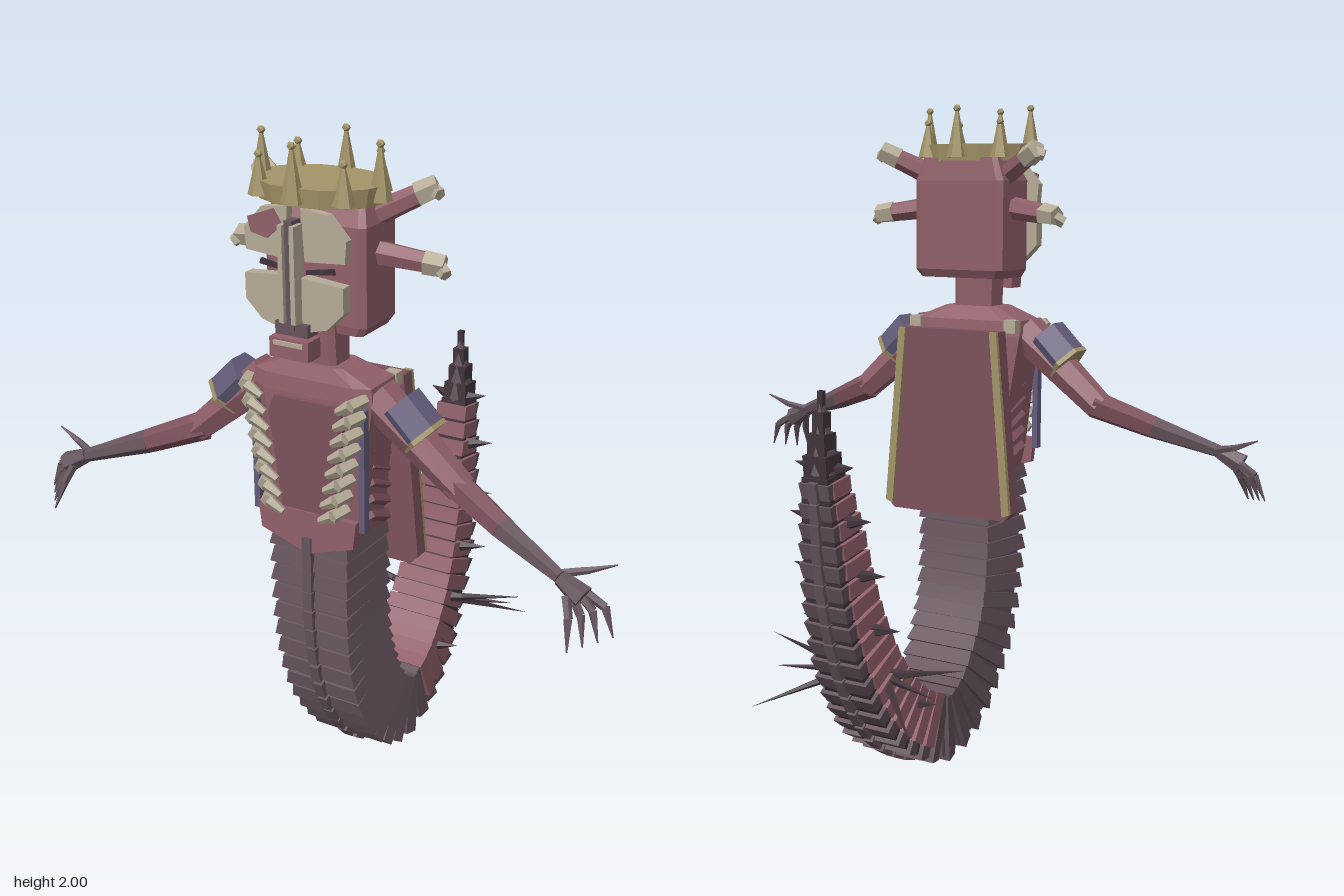
import * as THREE from 'three';

const mat = (name, color) => new THREE.MeshStandardMaterial({ name, color, flatShading: true, side: THREE.DoubleSide });
const rose = mat('rose', 0x91606a), shade = mat('deep rose', 0x7c515b), dark = mat('dark mauve', 0x65545c);
const black = mat('near black', 0x41343b), bone = mat('bone', 0xb5ab97), gold = mat('gold', 0xa39468);
const violet = mat('violet', 0x645c7a);
const V = (x, y, z) => new THREE.Vector3(x, y, z);
const lerp = THREE.MathUtils.lerp;

function add(parent, name, geometry, material) {
  const m = new THREE.Mesh(geometry, material);
  m.name = name;
  parent.add(m);
  return m;
}
function box(parent, name, material, w, h, d, x, y, z) {
  const m = add(parent, name, new THREE.BoxGeometry(w, h, d), material);
  m.position.set(x, y, z);
  return m;
}
// tapered rod between two points
function rod(parent, name, material, a, b, r0, r1, sides = 6) {
  const d = b.clone().sub(a);
  const m = add(parent, name, new THREE.CylinderGeometry(r1, r0, d.length(), sides), material);
  m.position.copy(a).addScaledVector(d, 0.5);
  m.quaternion.setFromUnitVectors(V(0, 1, 0), d.normalize());
  return m;
}
// flat polygon given thickness, its back at z
function plate(parent, name, material, pts, z, depth) {
  const shape = new THREE.Shape(pts.map(p => new THREE.Vector2(...p)));
  const m = add(parent, name, new THREE.ExtrudeGeometry(shape, { depth, bevelEnabled: false }), material);
  m.position.z = z;
  return m;
}
// chamfered block through sections [y, halfWidth, halfDepth, zCentre]
function loft(parent, name, material, sections, c = 0.75) {
  const ring = [[1, -c], [1, c], [c, 1], [-c, 1], [-1, c], [-1, -c], [-c, -1], [c, -1]];
  const pos = [], idx = [], top = (sections.length - 1) * 8;
  for (const [y, w, d, z] of sections) for (const [u, v] of ring) pos.push(u * w, y, z + v * d);
  for (let s = 0; s < top; s += 8) for (let i = 0; i < 8; i++) {
    const a = s + i, b = s + (i + 1) % 8;
    idx.push(a, a + 8, b, b, a + 8, b + 8);
  }
  for (let i = 1; i < 7; i++) idx.push(0, i, i + 1, top, top + i + 1, top + i);
  const g = new THREE.BufferGeometry();
  g.setAttribute('position', new THREE.Float32BufferAttribute(pos, 3));
  g.setIndex(idx);
  g.computeVertexNormals();
  return add(parent, name, g, material);
}

function buildTail(root) {
  const tail = new THREE.Group();
  tail.name = 'tail';
  root.add(tail);
  const path = new THREE.CatmullRomCurve3([[.88, .3], [.6, .3], [.42, .27], [.27, .2], [.16, .11], [.11, 0], [.135, -.1],
    [.2, -.21], [.3, -.3], [.42, -.37], [.6, -.435], [.8, -.475], [1, -.51], [1.2, -.513]].map(p => V(0, ...p)));
  const stops = [[0, .13, .125], [.25, .125, .12], [.48, .105, .1], [.65, .085, .085], [.8, .065, .07], [.91, .045, .043], [1, .004, .004]];
  const size = t => {
    const i = Math.max(1, stops.findIndex(s => s[0] >= t)), a = stops[i - 1], b = stops[i];
    const k = (t - a[0]) / (b[0] - a[0]);
    return [lerp(a[1], b[1], k), lerp(a[2], b[2], k)];
  };
  const N = 38, step = path.getLength() / N;
  for (let i = 0; i < N; i++) {
    const t = (i + .5) / N, [w, d] = size(t), far = t > .44;
    const seg = new THREE.Group(), T = path.getTangentAt(t), X = V(1, 0, 0);
    seg.name = 'tailSegment';
    seg.setRotationFromMatrix(new THREE.Matrix4().makeBasis(X, T, X.clone().cross(T)));
    seg.position.copy(path.getPointAt(t));
    tail.add(seg);
    // core, then overlapping armour ring
    box(seg, 'tailCore', far ? black : dark, w * 1.72, step * 1.3, d * 1.72, 0, 0, 0);
    if (t < .9) {
      const ring = add(seg, 'tailPlate', new THREE.CylinderGeometry(Math.SQRT2, Math.SQRT2 * .93, step * .8, 4, 1, false, Math.PI / 4), dark);
      ring.scale.set(w, 1, d);
      box(seg, 'bellyRidge', dark, .03, step, .02, 0, 0, -d);
      if (far) box(seg, 'rosePlate', rose, w * 2.1, step * .82, d * 1.6, 0, 0, d * .24);
    }
  }
  const end = path.getPointAt(.9), [ew] = size(.9);
  rod(tail, 'tailTip', dark, end, path.getPointAt(1), ew, .004, 6);
  // short thorns and the long spines on each side
  for (const s of [-1, 1]) {
    for (const [y, z, x, l] of [[.235, -.18, .08, .09], [.36, -.295, .08, .09], [.51, -.375, .07, .1], [.68, -.43, .06, .1], [.84, -.47, .05, .09], [.99, -.495, .03, .07]])
      rod(tail, 'thorn', black, V(s * x, y, z), V(s * (x + l), y + .015, z - .01), .022, 0, 5);
    for (const [x, y, z] of [[.34, .42, -.31], [.28, .345, -.38], [.28, .25, -.5]])
      rod(tail, 'longSpine', black, V(s * .06, .35, -.3), V(s * x, y, z), .016, 0, 5);
  }
}

function buildTorso(root) {
  loft(root, 'torso', rose, [[.87, .125, .105, .31], [.95, .145, .1, .31], [1.15, .168, .095, .315], [1.3, .19, .09, .32],
    [1.345, .185, .085, .32], [1.385, .09, .06, .33]]);
  loft(root, 'neck', rose, [[1.37, .066, .045, .33], [1.53, .066, .052, .335]]);
  plate(root, 'chestPanel', shade, [[-.1, 1.29], [.1, 1.29], [.12, 1.24], [.08, .95], [-.08, .95], [-.12, 1.24]], .405, .02);
  plate(root, 'hem', rose, [[-.16, .96], [.16, .96], [.15, .88], [0, .83], [-.15, .88]], .41, .02);
  // hanging back board with trimmed edges
  const halfW = y => lerp(.225, .175, (y - .765) / .555);
  plate(root, 'backBoard', shade, [[-.175, 1.32], [.175, 1.32], [.225, .765], [.2, .74], [-.2, .74], [-.225, .765]], .145, .045);
  for (const s of [-1, 1]) {
    plate(root, 'boardTrim', gold, [[s * halfW(1.32), 1.32], [s * (halfW(.765)), .765], [s * (halfW(.765) - .025), .755], [s * (halfW(1.32) - .025), 1.32]], .133, .014);
    box(root, 'sideStrap', violet, .018, .36, .025, s * .172, 1.11, .405);
    // rib ends down the chest
    for (let i = 0; i < 8; i++) {
      const k = i / 7, x = lerp(.165, .105, k), y = lerp(1.32, .985, k);
      rod(root, 'ribJoint', bone, V(s * (x + .02), y + .008, .415), V(s * x, y, .465), .017, .02, 5);
      rod(root, 'rib', bone, V(s * x, y, .458), V(s * (x - .045), y - .027, .455), .019, .011, 5);
    }
    for (let i = 0; i < 5; i++) {
      const y = .9 + i * .05;
      rod(root, 'flankRib', shade, V(s * .14, y, .23), V(s * .155, y + .05, .34), .02, .014, 4);
    }
    box(root, 'shoulderKnob', bone, .04, .04, .035, s * .17, 1.33, .24);
  }
}

function buildArm(root, s) {
  const arm = new THREE.Group();
  arm.name = s > 0 ? 'leftArm' : 'rightArm';
  root.add(arm);
  const P = (x, y, z) => V(s * x, y, z);
  const shoulder = P(.17, 1.31, .33), elbow = P(.43, 1.09, .33), mid = P(.58, 1.035, .385), wrist = P(.77, .97, .445);
  rod(arm, 'upperArm', rose, shoulder, elbow, .062, .043);
  rod(arm, 'armBand', violet, P(.24, 1.3, .33), P(.315, 1.225, .33), .066, .066);
  rod(arm, 'bandTrim', gold, P(.312, 1.227, .33), P(.322, 1.217, .33), .069, .069);
  rod(arm, 'forearm', shade, P(.41, 1.1, .325), mid, .044, .036);
  rod(arm, 'lowerForearm', dark, mid, wrist, .036, .02);
  rod(arm, 'palm', dark, wrist, P(.84, .935, .455), .022, .034);
  rod(arm, 'thumb', dark, P(.77, .975, .43), P(.83, .99, .41), .012, .01, 5);
  rod(arm, 'thumbClaw', dark, P(.83, .99, .41), P(.905, 1.02, .4), .01, .002, 5);
  // four bent fingers
  for (let i = 0; i < 4; i++) {
    const k = i / 3, knuckle = P(lerp(.89, .82, k), lerp(.91, .89, k), lerp(.43, .5, k));
    rod(arm, 'finger', dark, P(lerp(.84, .8, k), .94, lerp(.435, .475, k)), knuckle, .013, .012, 5);
    rod(arm, 'claw', dark, knuckle, P(lerp(.92, .835, k), lerp(.835, .815, k), lerp(.44, .535, k)), .012, .002, 5);
  }
}

function buildHead(root) {
  const head = new THREE.Group();
  head.name = 'head';
  root.add(head);
  loft(head, 'skull', rose, [[1.475, .14, .075, .285], [1.5, .155, .085, .28], [1.77, .155, .085, .28], [1.84, .13, .06, .265]], .88);
  // floating mask
  for (const s of [-1, 1]) {
    plate(head, 'maskBrow', bone, [[.02, 1.83], [.1, 1.82], [.155, 1.76], [.15, 1.7], [.03, 1.69]].map(([x, y]) => [s * x, y]), .43, .025);
    plate(head, 'maskCheek', bone, [[.025, 1.65], [.15, 1.64], [.15, 1.57], [.1, 1.52], [.025, 1.5]].map(([x, y]) => [s * x, y]), .43, .035);
    plate(head, 'eyeSlit', black, [[.03, 1.665], [.11, 1.68], [.115, 1.665], [.03, 1.655]].map(([x, y]) => [s * x, y]), .44, .009);
    box(head, 'noseSide', bone, .014, .26, .045, s * .018, 1.66, .475);
  }
  plate(head, 'foreheadPatch', rose, [[-.14, 1.79], [-.06, 1.82], [-.035, 1.78], [-.08, 1.74], [-.13, 1.75]], .455, .006);
  box(head, 'noseSlot', dark, .024, .29, .04, 0, 1.655, .465);
  box(head, 'mouth', dark, .1, .035, .05, 0, 1.51, .455);
  box(head, 'jaw', rose, .12, .055, .06, 0, 1.46, .465);
  box(head, 'teeth', bone, .09, .012, .008, 0, 1.475, .497);
  // side branches with pale tips
  for (const s of [-1, 1]) for (const [a, b] of [[[.1, 1.77, .28], [.275, 1.862, .19]], [[.13, 1.69, .28], [.32, 1.665, .235]]]) {
    const A = V(s * a[0], a[1], a[2]), B = V(s * b[0], b[1], b[2]), C = A.clone().lerp(B, .72);
    rod(head, 'branch', rose, A, C, .036, .03);
    rod(head, 'branchTip', bone, C, B, .034, .031, 5);
    rod(head, 'branchNub', bone, B.clone().lerp(C, .3), B.clone().add(V(s * .015, -.018, .02)), .02, .018, 5);
  }
  // crown: filled band, eight points with beads
  const crown = new THREE.Group();
  crown.name = 'crown';
  crown.position.set(0, 1.83, .325);
  head.add(crown);
  add(crown, 'crownBand', new THREE.CylinderGeometry(1, .95, .05, 16), gold).scale.set(.19, 1, .14);
  crown.children[0].position.y = .025;
  for (let i = 0; i < 8; i++) {
    const a = i * Math.PI / 4, x = Math.sin(a) * .18, z = Math.cos(a) * .133, h = i % 2 ? .115 : .155;
    rod(crown, 'crownPoint', gold, V(x, .01, z), V(x, h, z), .031, .004, 6);
    add(crown, 'crownBead', new THREE.IcosahedronGeometry(.012, 0), gold).position.set(x, h, z);
  }
}

export function createModel() {
  const root = new THREE.Group();
  root.name = 'serpentRuler';
  buildTail(root);
  buildTorso(root);
  for (const s of [-1, 1]) buildArm(root, s);
  buildHead(root);
  return root;
}
